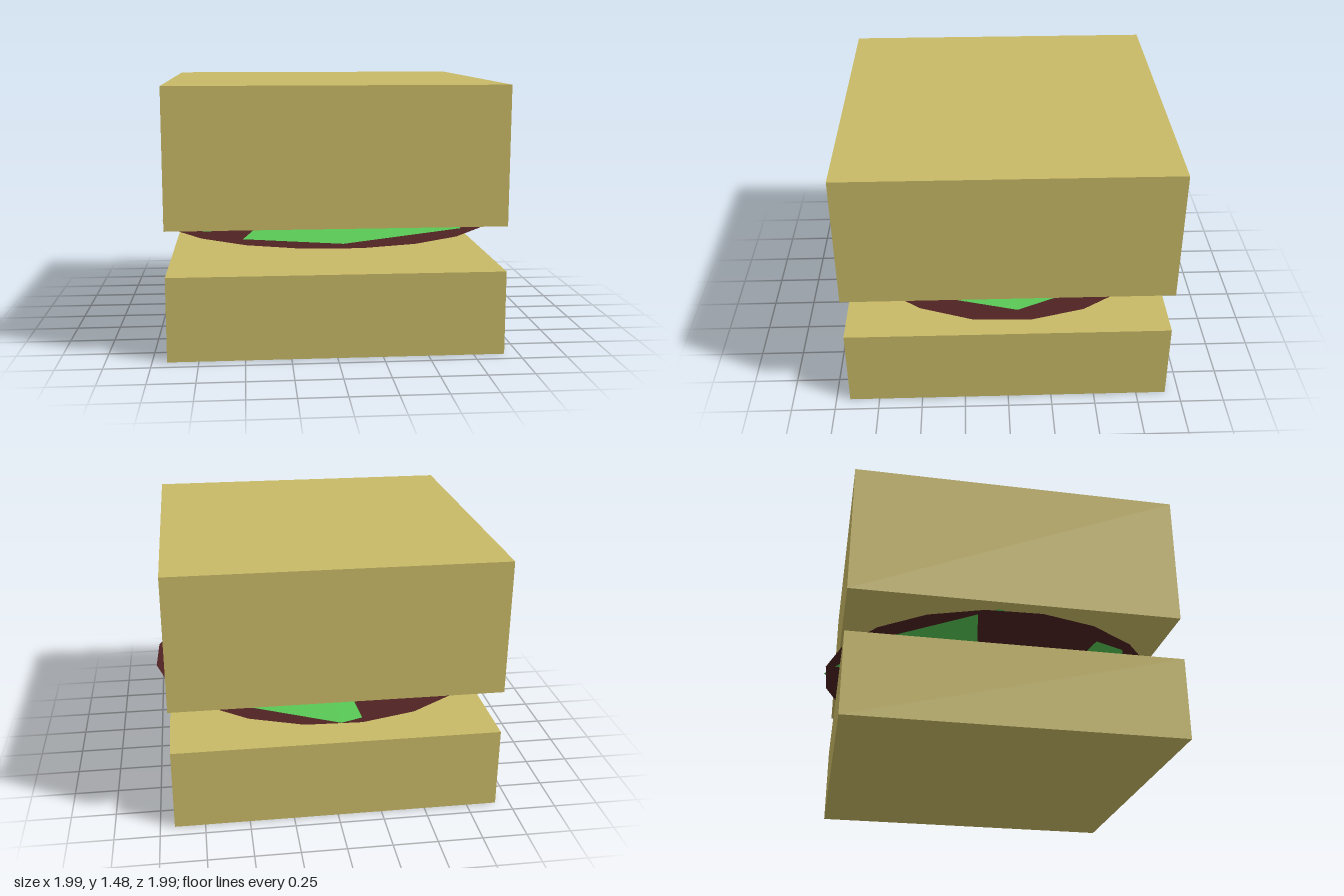
import * as THREE from 'three';

const material = (color, extra = {}) =>
  new THREE.MeshStandardMaterial({ color, flatShading: true, ...extra });

function addPart(group, name, geometry, mat) {
  const mesh = new THREE.Mesh(geometry, mat);
  mesh.name = name;
  group.add(mesh);
  return mesh;
}

// Wavy eight-sided leaf: a fan from the centre to an uneven rim
function leafGeometry() {
  const centre = [0, 0.629, 0];
  const rim = [
    [-0.99, 0.632, -0.12], [-0.62, 0.593, -0.7], [0, 0.633, -1], [0.62, 0.638, -0.69],
    [0.91, 0.629, -0.05], [0.74, 0.634, 0.55], [0.03, 0.632, 0.91], [-0.66, 0.623, 0.66],
  ];
  const positions = [];
  rim.forEach((point, i) => {
    positions.push(...centre, ...rim[(i + 1) % rim.length], ...point);
  });
  const geometry = new THREE.BufferGeometry();
  geometry.setAttribute('position', new THREE.Float32BufferAttribute(positions, 3));
  geometry.computeVertexNormals();
  return geometry;
}

export function createModel() {
  const group = new THREE.Group();
  group.name = 'sandwich';
  const bread = material(0xc9ba66);
  const width = 1.84;

  // Bread slices: [name, bottom, top]
  for (const [name, y0, y1] of [['bottomBread', 0, 0.465], ['topBread', 0.715, 1.475]]) {
    addPart(group, name, new THREE.BoxGeometry(width, y1 - y0, width), bread)
      .position.y = (y0 + y1) / 2;
  }

  // Thin twenty-sided patty
  const disc = new THREE.CircleGeometry(1, 20, THREE.MathUtils.degToRad(6.7));
  disc.rotateX(-Math.PI / 2);
  addPart(group, 'patty', disc, material(0x4f2222, { side: THREE.DoubleSide })).position.y = 0.625;

  // Lettuce leaf weaving through the patty's plane
  addPart(group, 'lettuce', leafGeometry(), material(0x59c855, { side: THREE.DoubleSide }));

  return group;
}
